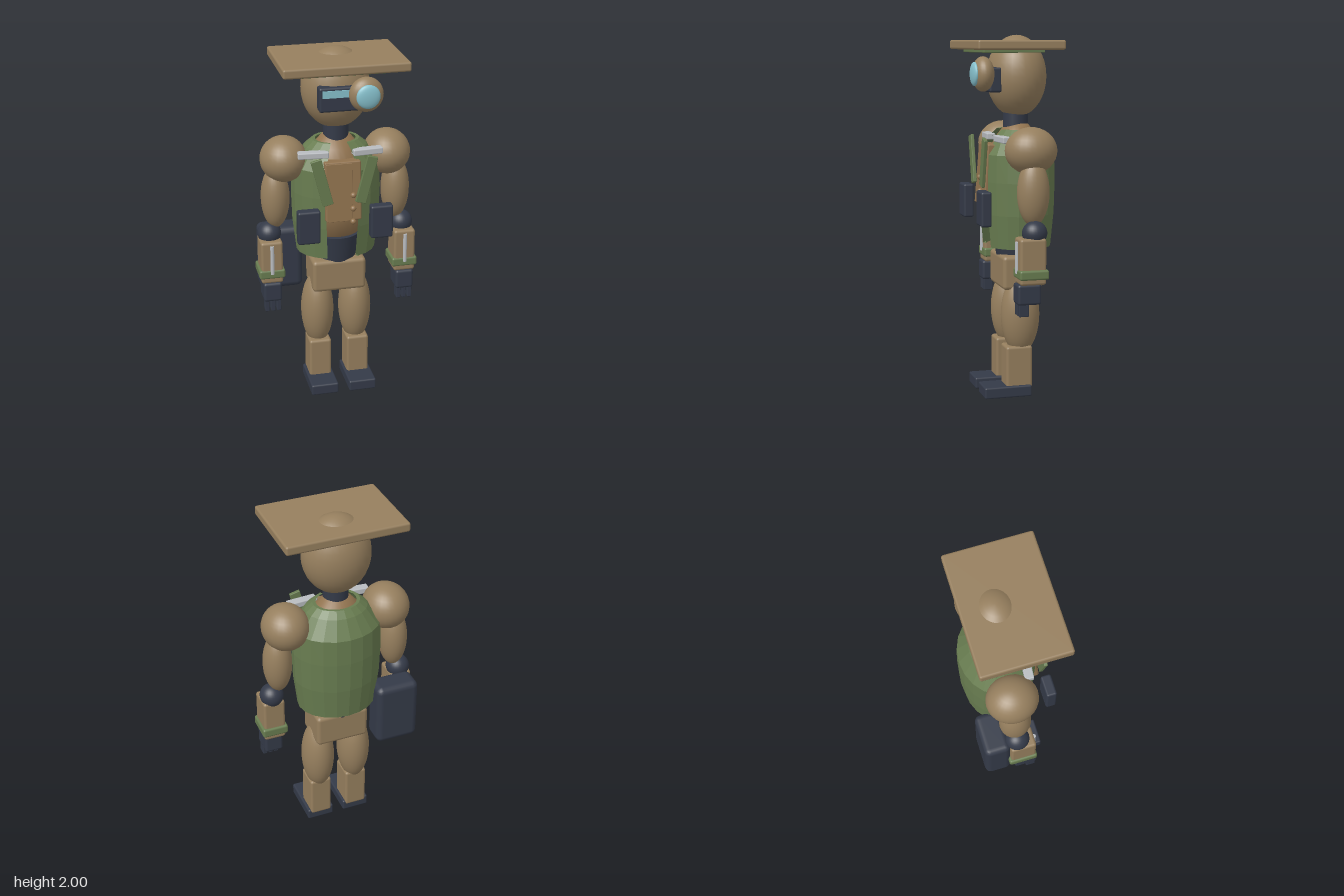
import * as THREE from 'three';
import { RoundedBoxGeometry } from 'three/addons/geometries/RoundedBoxGeometry.js';

const paint = (name, color, extra = {}) =>
  Object.assign(new THREE.MeshStandardMaterial({ color }), { name }, extra);

export function createModel() {
  const tan = paint('tan', 0x967f5e);
  const shirt = paint('shirtBrown', 0x91734f);
  const green = paint('oliveGreen', 0x687c50, { side: THREE.DoubleSide });
  const dark = paint('darkSlate', 0x343a48);
  const cyan = paint('lensBlue', 0x86c0cc);
  const silver = paint('silver', 0xb9bcc0);

  const model = new THREE.Group();
  model.name = 'robot';

  const add = (name, geometry, material, x, y, z, parent = model) => {
    const mesh = new THREE.Mesh(geometry, material);
    mesh.name = name;
    mesh.position.set(x, y, z);
    parent.add(mesh);
    return mesh;
  };
  // Box with softened edges, given by its ranges on each axis
  const box = (name, material, [x0, x1], [y0, y1], [z0, z1], radius = 0.012) =>
    add(name, new RoundedBoxGeometry(x1 - x0, y1 - y0, z1 - z0, 2, radius), material,
      (x0 + x1) / 2, (y0 + y1) / 2, (z0 + z1) / 2);
  const ball = (name, material, x, y, z, rx, ry, rz) =>
    add(name, new THREE.SphereGeometry(1, 28, 18).scale(rx, ry, rz), material, x, y, z);
  const lathe = (points, segments, start = 0, length = Math.PI * 2) =>
    new THREE.LatheGeometry(points.map(([r, y]) => new THREE.Vector2(r, y)), segments, start, length);

  // Head, neck and flat hat
  ball('head', tan, 0, 1.775, -0.045, 0.19, 0.225, 0.165);
  add('neck', new THREE.CylinderGeometry(0.07, 0.07, 0.12, 24), dark, 0, 1.53, -0.04);
  box('hat', tan, [-0.34, 0.34], [1.92, 1.972], [-0.225, 0.255]);
  box('hatLining', green, [-0.235, 0.235], [1.904, 1.93], [-0.14, 0.2], 0.004);

  // Visor and big round eye
  box('visor', dark, [-0.127, 0.127], [1.69, 1.825], [0.07, 0.14]);
  add('visorWindow', new THREE.BoxGeometry(0.22, 0.04, 0.008), cyan, 0, 1.79, 0.141);
  ball('eyeHousing', tan, 0.117, 1.79, 0.175, 0.093, 0.095, 0.06);
  ball('eyeLens', cyan, 0.117, 1.79, 0.222, 0.065, 0.065, 0.022);

  // Torso, shirt front and waist
  const torso = lathe([[0, 0.89], [0.08, 0.9], [0.13, 0.95], [0.165, 1.06], [0.172, 1.28],
    [0.15, 1.38], [0.11, 1.45], [0.06, 1.515], [0, 1.525]], 28).scale(1.15, 1, 1);
  add('torso', torso, shirt, 0, 0, -0.047);
  const shirtFront = box('shirtFront', shirt, [-0.1, 0.1], [1.07, 1.405], [0.06, 0.155], 0.008);
  shirtFront.rotation.x = -0.08;
  const placket = box('shirtFlap', shirt, [-0.095, 0.05], [1.072, 1.4], [0.15, 0.159], 0.003);
  placket.rotation.x = -0.08;
  for (const y of [1.07, 1.147, 1.225]) ball('button', shirt, 0.05, y, 0.176, 0.016, 0.016, 0.016);
  add('waist', new THREE.CylinderGeometry(0.14, 0.11, 0.17, 24), dark, 0, 0.85, -0.045);
  box('pelvis', tan, [-0.153, 0.153], [0.6, 0.79], [-0.155, 0.07], 0.022);

  // Faceted vest, open at the front
  const outer = [[0.186, 0.835], [0.204, 1.02], [0.209, 1.2], [0.205, 1.35], [0.145, 1.45], [0.11, 1.485]];
  const inner = outer.map(([r, y]) => [r - 0.016, y - 0.001]).reverse();
  const gap = 0.4;
  const vest = lathe([...outer, ...inner, outer[0]], 18, gap, Math.PI * 2 - gap * 2)
    .scale(1.2, 1, 1).toNonIndexed();
  vest.computeVertexNormals();
  add('vest', vest, green, 0, 0, -0.047);

  for (const s of [-1, 1]) {
    const side = s > 0 ? 'left' : 'right';
    const span = (a, b) => (s > 0 ? [a, b] : [-b, -a]);

    // Vest strap, clip and chest pouch
    const strap = add(side + 'Strap', new RoundedBoxGeometry(0.06, 0.27, 0.02, 2, 0.004), green,
      s * 0.123, 1.31, 0.175);
    strap.rotation.z = -s * 0.25;
    const clip = box(side + 'Clip', silver, span(0.067, 0.235), [1.42, 1.455], [0.05, 0.1], 0.006);
    clip.rotation.y = s * 0.08;
    box(side + 'Pouch', dark, span(0.14, 0.265), [0.975, 1.165], [0.163, 0.222]);

    // Arm
    ball(side + 'Shoulder', tan, s * 0.292, 1.385, -0.045, 0.13, 0.127, 0.142);
    ball(side + 'UpperArm', tan, s * 0.342, 1.165, -0.043, 0.08, 0.18, 0.088);
    ball(side + 'Elbow', dark, s * 0.38, 0.953, -0.04, 0.066, 0.066, 0.068);
    box(side + 'Forearm', tan, span(0.32, 0.443), [0.68, 0.93], [-0.09, 0.055], 0.015);
    add(side + 'ForearmRod', new THREE.CylinderGeometry(0.011, 0.011, 0.17, 12), silver, s * 0.382, 0.825, 0.057);
    box(side + 'Cuff', green, span(0.309, 0.455), [0.71, 0.763], [-0.102, 0.06]);

    // Hand with three fingers
    box(side + 'Palm', dark, span(0.33, 0.434), [0.572, 0.685], [-0.065, 0.066], 0.015);
    for (const f of [-1, 0, 1]) {
      const x = s * 0.382 + f * 0.033;
      box(side + 'Finger', dark, [x - 0.012, x + 0.012], [0.51, 0.59], [0.004, 0.058], 0.004);
    }

    // Leg
    ball(side + 'Thigh', tan, s * 0.11, 0.455, -0.037, 0.093, 0.225, 0.109);
    box(side + 'Shin', tan, span(0.046, 0.174), [0.04, 0.285], [-0.092, 0.058], 0.015);
    box(side + 'Foot', dark, span(0.032, 0.19), [0, 0.064], [-0.085, 0.185], 0.01);
  }

  // Hip bag behind the right arm
  box('hipBag', dark, [-0.428, -0.18], [0.575, 0.948], [-0.235, -0.085], 0.035);

  return model;
}
